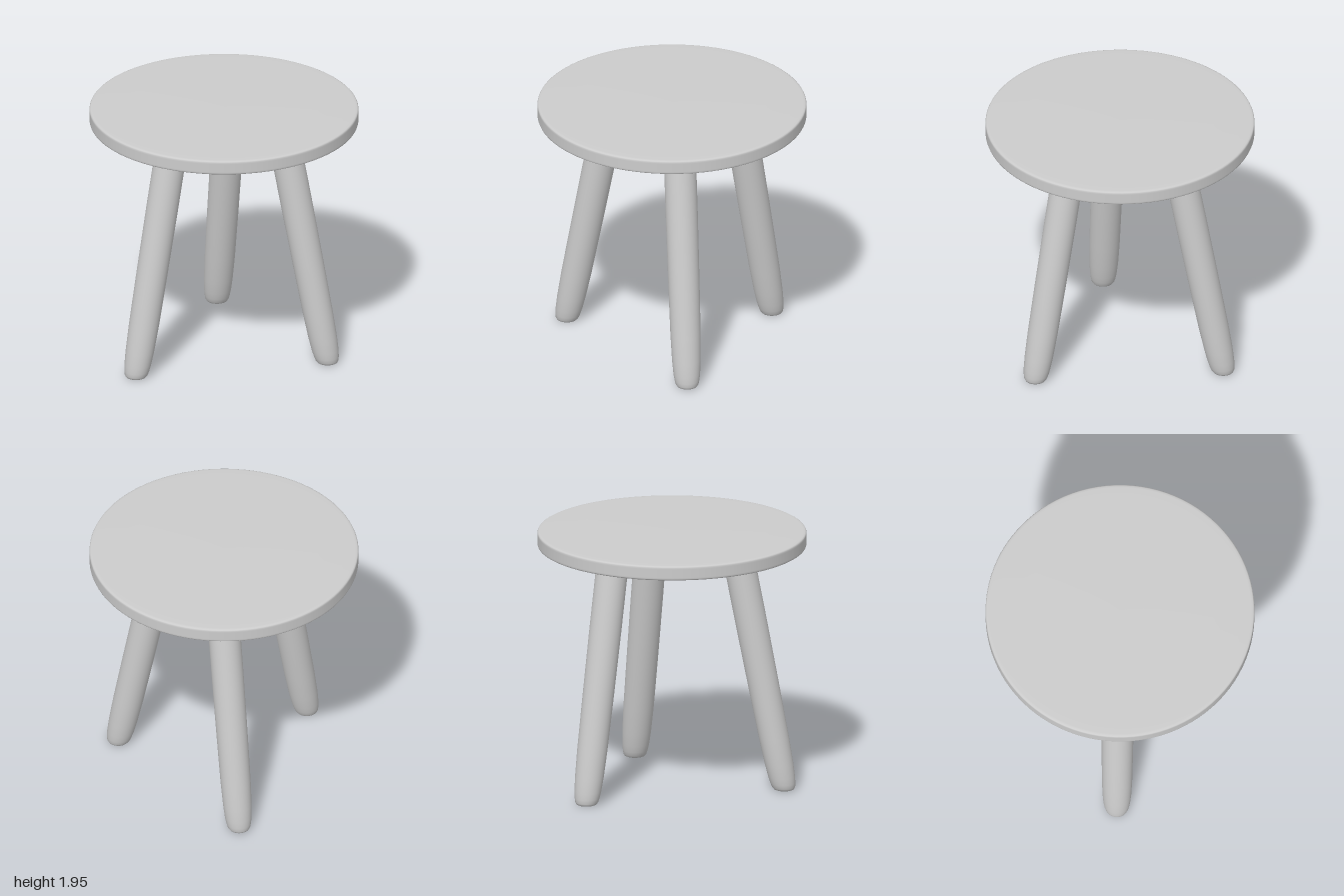
import * as THREE from 'three';

const lathe = (points, segments) =>
  new THREE.LatheGeometry(points.map(([r, y]) => new THREE.Vector2(r, y)), segments);

export function createModel() {
  const group = new THREE.Group();
  const grey = new THREE.MeshStandardMaterial({ color: 0xcccccc, side: THREE.DoubleSide });
  grey.name = 'grey';

  // Round seat: flat underside, softened rim, very slightly domed top
  const seat = new THREE.Mesh(lathe([
    [0, 1.838], [0.98, 1.838], [0.99, 1.839], [0.997, 1.843], [1, 1.85], [1, 1.86],
    [1, 1.925], [1, 1.935], [0.997, 1.942], [0.99, 1.946], [0.975, 1.948],
    [0.9, 1.95], [0.7, 1.952], [0, 1.953],
  ], 96), grey);
  seat.name = 'seat';
  group.add(seat);

  // Leg profile: nearly straight, rounding in to a small open foot
  const profile = [
    [0.05, 0.012], [0.055, 0.003], [0.065, 0], [0.076, 0.005], [0.086, 0.02], [0.093, 0.05],
    [0.1, 0.1], [0.107, 0.2], [0.113, 0.4], [0.117, 0.8], [0.12, 1.3], [0.12, 1.85],
  ];

  // Each leg is slanted by shifting its sections from foot to top
  const addLeg = (name, [x0, z0], [x1, z1]) => {
    const geometry = lathe(profile, 40);
    const sx = (x1 - x0) / 1.84, sz = (z1 - z0) / 1.84;
    geometry.applyMatrix4(new THREE.Matrix4().set(
      1, sx, 0, x0,
      0, 1, 0, 0,
      0, sz, 1, z0,
      0, 0, 0, 1));
    const leg = new THREE.Mesh(geometry, grey);
    leg.name = name;
    group.add(leg);
  };
  addLeg('frontLeg', [0, 0.85], [0, 0.49]);
  addLeg('backLeftLeg', [0.7, -0.42], [0.4, -0.23]);
  addLeg('backRightLeg', [-0.7, -0.51], [-0.37, -0.37]);

  return group;
}
